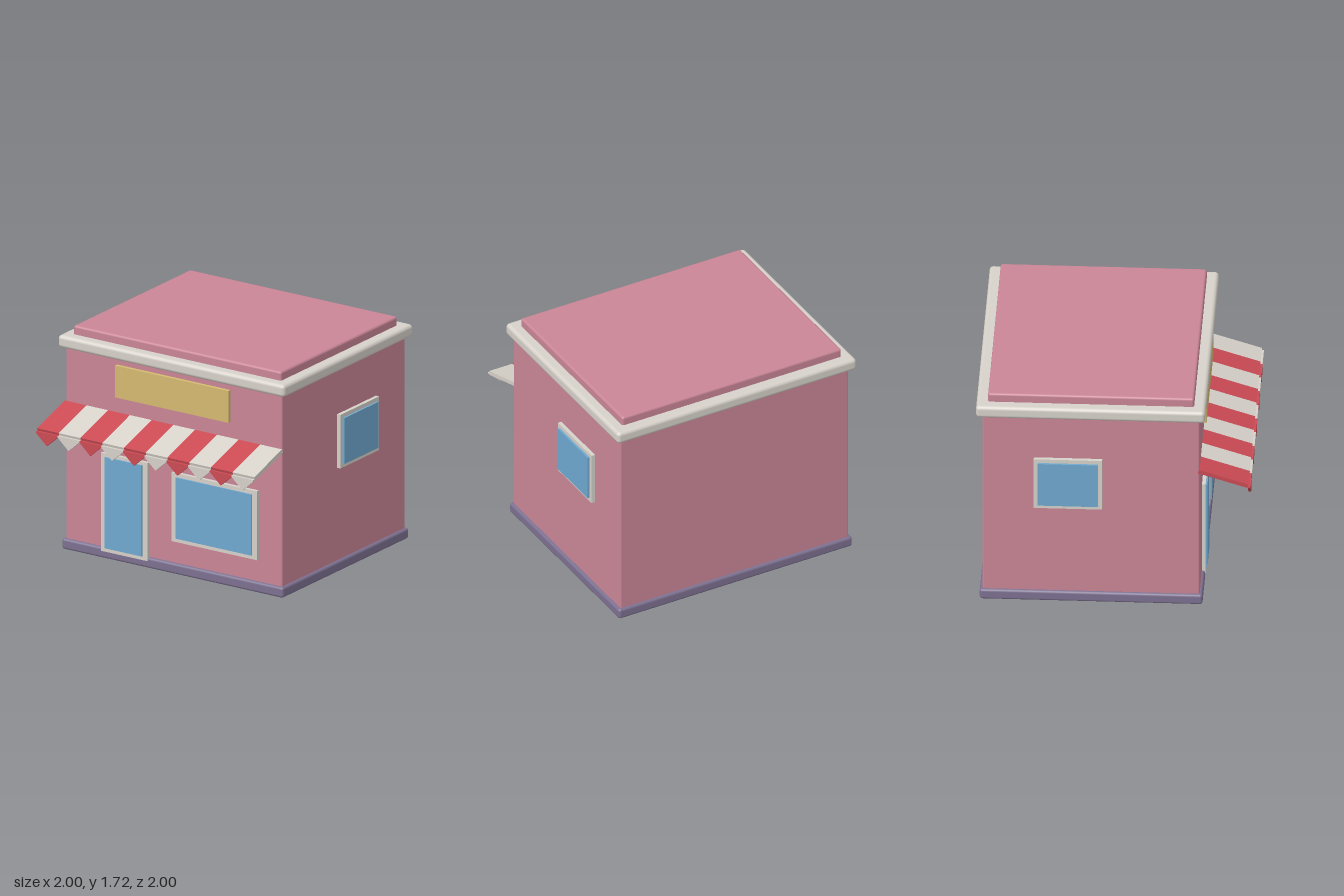
import * as THREE from 'three';
import { RoundedBoxGeometry } from 'three/addons/geometries/RoundedBoxGeometry.js';

const paint = (name, color) => {
  const m = new THREE.MeshStandardMaterial({ color });
  m.name = name;
  return m;
};

export function createModel() {
  const pink = paint('pinkWall', 0xc98596);
  const cream = paint('creamTrim', 0xd6d1c9);
  const plum = paint('plumBase', 0x7c7090);
  const blue = paint('blueGlass', 0x6fa8cf);
  const red = paint('awningRed', 0xcb4a54);
  const gold = paint('goldSign', 0xd4b970);

  const shop = new THREE.Group();
  shop.name = 'shop';

  // Box given by its extents; a radius rounds its edges
  const block = (name, mat, [x0, x1], [y0, y1], [z0, z1], radius = 0, parent = shop) => {
    const size = [x1 - x0, y1 - y0, z1 - z0];
    const geo = radius ? new RoundedBoxGeometry(...size, 3, radius) : new THREE.BoxGeometry(...size);
    const mesh = new THREE.Mesh(geo, mat);
    mesh.name = name;
    mesh.position.set((x0 + x1) / 2, (y0 + y1) / 2, (z0 + z1) / 2);
    parent.add(mesh);
    return mesh;
  };

  // Building shell
  block('walls', pink, [-0.953, 0.953], [0, 1.6], [-0.952, 0.628], 0.012);
  block('basePlinth', plum, [-0.975, 0.975], [0.004, 0.086], [-0.972, 0.65], 0.02);
  block('cornice', cream, [-0.998, 0.998], [1.555, 1.65], [-0.998, 0.67], 0.028);
  block('roofCap', pink, [-0.915, 0.915], [1.6, 1.717], [-0.914, 0.586], 0.018);
  block('signBoard', gold, [-0.5, 0.5], [1.265, 1.51], [0.6, 0.656]);

  // Door and shop window
  block('doorFrame', cream, [-0.625, -0.212], [0.06, 0.815], [0.6, 0.655]);
  block('doorGlass', blue, [-0.585, -0.257], [0.09, 0.79], [0.6, 0.666]);
  block('shopWindowFrame', cream, [0, 0.75], [0.257, 0.787], [0.6, 0.655]);
  block('shopWindowGlass', blue, [0.042, 0.708], [0.287, 0.756], [0.6, 0.666]);

  // A window on each side wall
  for (const [side, s] of [['left', 1], ['right', -1]]) {
    const span = (a, b) => (s > 0 ? [a, b] : [-b, -a]);
    block(side + 'WindowFrame', cream, span(0.93, 0.982), [0.797, 1.21], [-0.578, -0.08]);
    block(side + 'WindowGlass', blue, span(0.93, 0.998), [0.827, 1.18], [-0.548, -0.11]);
  }

  // Striped sloping awning with a pointed valance flap on each stripe
  const awning = new THREE.Group();
  awning.name = 'awning';
  shop.add(awning);
  const count = 10, w = 0.1915, h = w / 2;
  const run = 0.36, drop = 0.113;
  const slopeLength = Math.hypot(run, drop);

  const flap = new THREE.Shape();
  flap.moveTo(-h, 0.012);
  flap.lineTo(-h, 0);
  flap.lineTo(0, -0.085);
  flap.lineTo(h, 0);
  flap.lineTo(h, 0.012);
  flap.closePath();
  const flapGeo = new THREE.ExtrudeGeometry(flap, { depth: 0.02, bevelEnabled: false });

  for (let i = 0; i < count; i++) {
    const x = -0.004 + (i - (count - 1) / 2) * w;
    const mat = i % 2 ? cream : red;
    const stripe = block('awningStripe', mat, [x - h, x + h], [-0.015, 0.015],
      [-slopeLength / 2, slopeLength / 2], 0, awning);
    stripe.position.set(x, 1.073, 0.8);
    stripe.rotation.x = Math.atan2(drop, run);

    const valance = new THREE.Mesh(flapGeo, mat);
    valance.name = 'awningValance';
    valance.position.set(x, 1, 0.979);
    awning.add(valance);
  }

  return shop;
}
